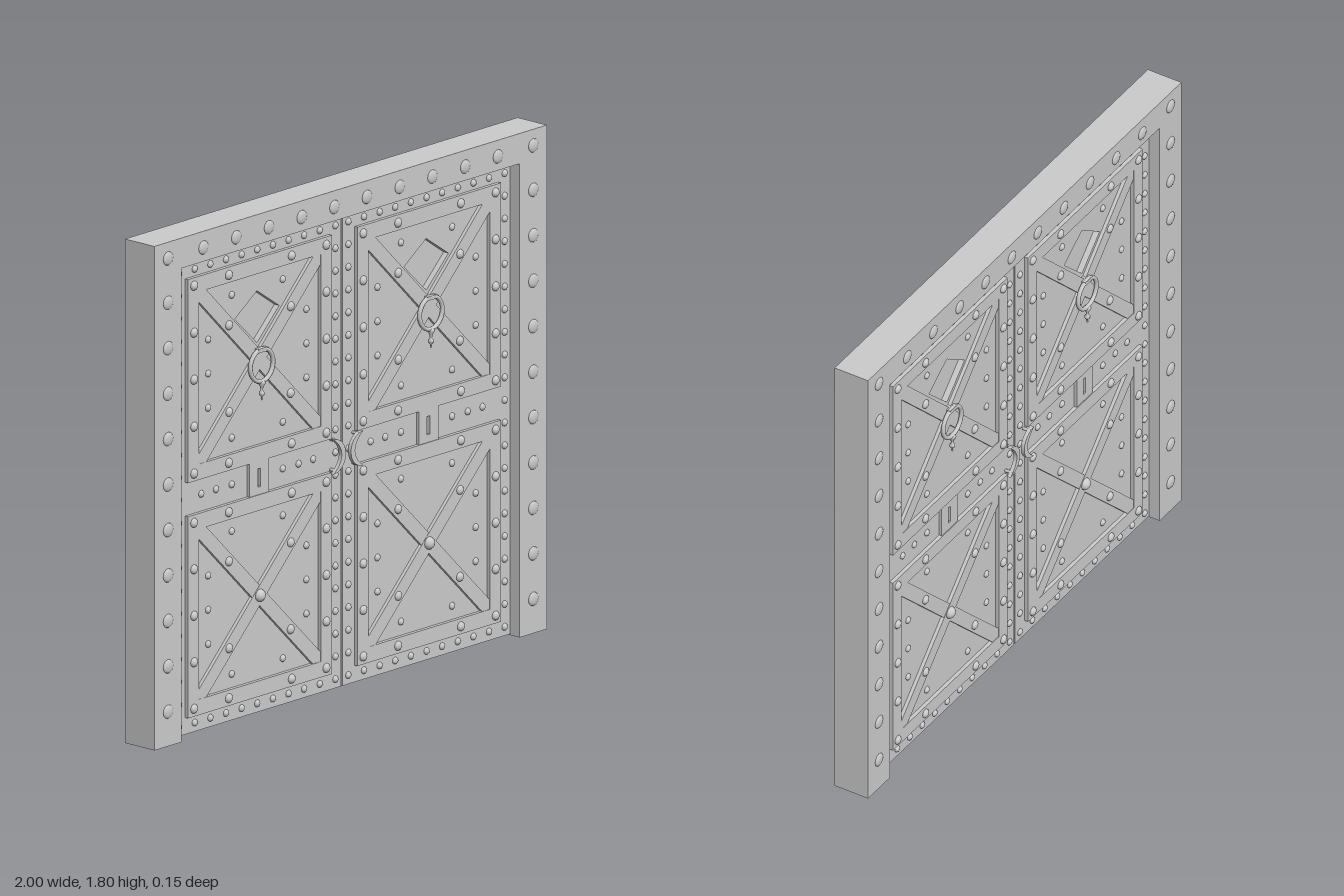
import * as THREE from 'three';
import { mergeGeometries } from 'three/addons/utils/BufferGeometryUtils.js';

const SLAB = 0.026, RAIL = 0.04, FRAME = 0.068; // half thicknesses
const DOOR_X = 0.431, DOOR_W = 0.427;           // door centre and half width
const PANELS = [[0.905, 1.632], [0.065, 0.785]]; // bottom and top of the raised frames

const material = new THREE.MeshStandardMaterial({ color: 0xcccccc });

function add(parent, name, geometry, x = 0, y = 0, z = 0) {
  const mesh = new THREE.Mesh(geometry, material);
  mesh.name = name;
  mesh.position.set(x, y, z);
  parent.add(mesh);
  return mesh;
}

function polygon(points, Type = THREE.Shape) {
  return new Type(points.map(([x, y]) => new THREE.Vector2(x, y)));
}

function rect(x0, y0, x1, y1, Type) {
  return polygon([[x0, y0], [x1, y0], [x1, y1], [x0, y1]], Type);
}

function extrude(shape, depth) {
  return new THREE.ExtrudeGeometry(shape, { depth, bevelEnabled: false, curveSegments: 20 });
}

// Flattened dome heads, merged into one mesh
function rivets(parent, name, points, radius, height, z) {
  const dome = new THREE.SphereGeometry(radius, 12, 4, 0, Math.PI * 2, 0, Math.PI / 2);
  dome.rotateX(Math.PI / 2).scale(1, 1, height / radius);
  add(parent, name, mergeGeometries(points.map(([x, y]) => dome.clone().translate(x, y, z))));
}

const windowHole = () => polygon([[0, 1.51], [-0.113, 1.433], [0, 1.325], [0.113, 1.433]], THREE.Path);
const slot = () => rect(-0.007, 0.812, 0.007, 0.878, THREE.Path);

// Door leaf with kite window and key slot, closed by a thin pane
function doorLeaf() {
  const door = new THREE.Group();
  door.name = 'doorLeaf';
  const shape = rect(-DOOR_W, 0.005, DOOR_W, 1.69);
  shape.holes.push(windowHole(), slot());
  add(door, 'slab', extrude(shape, SLAB * 2), 0, 0, -SLAB);
  add(door, 'windowPane', new THREE.BoxGeometry(0.24, 0.2, 0.008), 0, 1.42, 0);
  add(door, 'slotBacking', new THREE.BoxGeometry(0.03, 0.09, 0.008), 0, 0.845, 0);
  return door;
}

// Ring knocker with a beaded pendant
function knocker() {
  const g = new THREE.Group();
  g.name = 'knocker';
  add(g, 'ring', new THREE.TorusGeometry(0.058, 0.008, 8, 32), 0, 1.249, 0.048);
  add(g, 'staple', new THREE.BoxGeometry(0.045, 0.014, 0.03), 0, 1.304, 0.04);
  const profile = [[0, 0], [0.004, 0.006], [0.002, 0.014], [0.01, 0.022], [0.01, 0.03],
    [0.004, 0.038], [0.006, 0.05], [0.014, 0.062], [0.012, 0.07], [0, 0.074]];
  add(g, 'pendant', new THREE.LatheGeometry(profile.map(p => new THREE.Vector2(...p)), 10),
    0, 1.122, 0.048);
  return g;
}

// Crescent pull handle, bulging towards -x
function handle() {
  const g = new THREE.Group();
  g.name = 'handle';
  const s = new THREE.Shape();
  s.absarc(0, 0, 0.062, Math.PI / 2, Math.PI * 1.5, false);
  s.quadraticCurveTo(-0.082, 0, 0, 0.062);
  add(g, 'grip', extrude(s, 0.014), 0, 0, 0.044);
  for (const y of [-0.054, 0.054]) {
    const post = new THREE.CylinderGeometry(0.006, 0.006, 0.034, 8).rotateX(Math.PI / 2);
    add(g, 'post', post, -0.018, y, 0.039);
  }
  return g;
}

// Ironwork on one side of one door, centred on x = 0
function doorFace() {
  const g = new THREE.Group();
  g.name = 'doorIronwork';
  const rim = [], railPts = [], bracePts = [], panelPts = [], bandPts = [];

  for (const [y0, y1] of PANELS) {
    const c = (y0 + y1) / 2, h = (y1 - y0) / 2;
    const frame = rect(-0.366, y0, 0.366, y1);
    frame.holes.push(rect(-0.31, y0 + 0.056, 0.31, y1 - 0.056, THREE.Path));
    add(g, 'panelFrame', extrude(frame, RAIL - SLAB + 0.002), 0, 0, SLAB - 0.002);

    // Crossed braces
    for (const s of [-1, 1]) {
      const brace = add(g, 'brace', new THREE.BoxGeometry(2 * Math.hypot(0.325, h - 0.04), 0.052, 0.014),
        0, c, 0.0315 + s * 0.0005);
      brace.rotation.z = s * Math.atan2(h - 0.04, 0.325);
    }

    for (const sx of [-1, 1]) {
      for (let i = -2; i <= 2; i++) railPts.push([sx * 0.337, c + i * (h - 0.028) / 2]);
      for (const sy of [-1, 1]) {
        railPts.push([sx * 0.16, c + sy * (h - 0.028)]);
        bracePts.push([sx * 0.157, c + sy * 0.155]);
        panelPts.push([sx * 0.13, c + sy * 0.255], [sx * 0.25, c + sy * 0.122]);
      }
      panelPts.push([sx * 0.25, c]);
    }
  }

  // Rivets round the rim and along the middle band
  for (let i = 0; i <= 20; i++) {
    for (const s of [-1, 1]) rim.push([s * 0.398, 0.037 + i * 0.081]);
  }
  for (let i = 1; i < 10; i++) {
    for (const y of [0.037, 1.657]) rim.push([-0.398 + i * 0.0796, y]);
  }
  for (const x of [0.13, 0.21, 0.285]) bandPts.push([x, 0.847], [-x, 0.847]);

  rivets(g, 'rimRivets', rim, 0.013, 0.01, SLAB);
  rivets(g, 'railRivets', railPts, 0.017, 0.012, RAIL);
  rivets(g, 'braceRivets', bracePts, 0.017, 0.012, 0.038);
  rivets(g, 'panelRivets', panelPts, 0.013, 0.01, SLAB);
  rivets(g, 'bandRivets', bandPts, 0.013, 0.01, SLAB);
  rivets(g, 'centreBoss', [[0, 0.425]], 0.023, 0.02, 0.038);

  // Lock plate
  const plate = rect(-0.05, 0.785, 0.05, 0.905);
  plate.holes.push(slot());
  add(g, 'lockPlate', extrude(plate, 0.012), 0, 0, SLAB - 0.001);
  g.add(knocker());
  return g;
}

// Everything fixed to one side of the gate
function gateSide(name) {
  const side = new THREE.Group();
  side.name = name;
  for (const s of [-1, 1]) {
    const face = doorFace();
    face.position.x = s * DOOR_X;
    side.add(face);
    const pull = handle();
    pull.position.set(s * 0.075, 0.845, 0);
    if (s < 0) pull.rotation.z = Math.PI;
    side.add(pull);
  }
  const points = [];
  for (const s of [-1, 1]) {
    points.push([s * 0.93, 1.742]);
    for (let i = 0; i < 5; i++) points.push([s * (0.083 + i * 0.1667), 1.742]);
    for (let i = 0; i < 10; i++) points.push([s * 0.93, 0.123 + i * 0.1623]);
  }
  rivets(side, 'frameRivets', points, 0.025, 0.008, FRAME);
  return side;
}

export function createModel() {
  const gate = new THREE.Group();
  gate.name = 'gate';

  // Surrounding frame, open at the bottom
  const surround = polygon([[-1, 0], [-0.861, 0], [-0.861, 1.692], [0.861, 1.692],
    [0.861, 0], [1, 0], [1, 1.8], [-1, 1.8]]);
  add(gate, 'frame', extrude(surround, FRAME * 2), 0, 0, -FRAME);

  for (const s of [-1, 1]) {
    const leaf = doorLeaf();
    leaf.position.x = s * DOOR_X;
    gate.add(leaf);
  }
  const back = gateSide('backSide');
  back.rotation.y = Math.PI;
  gate.add(gateSide('frontSide'), back);
  return gate;
}
